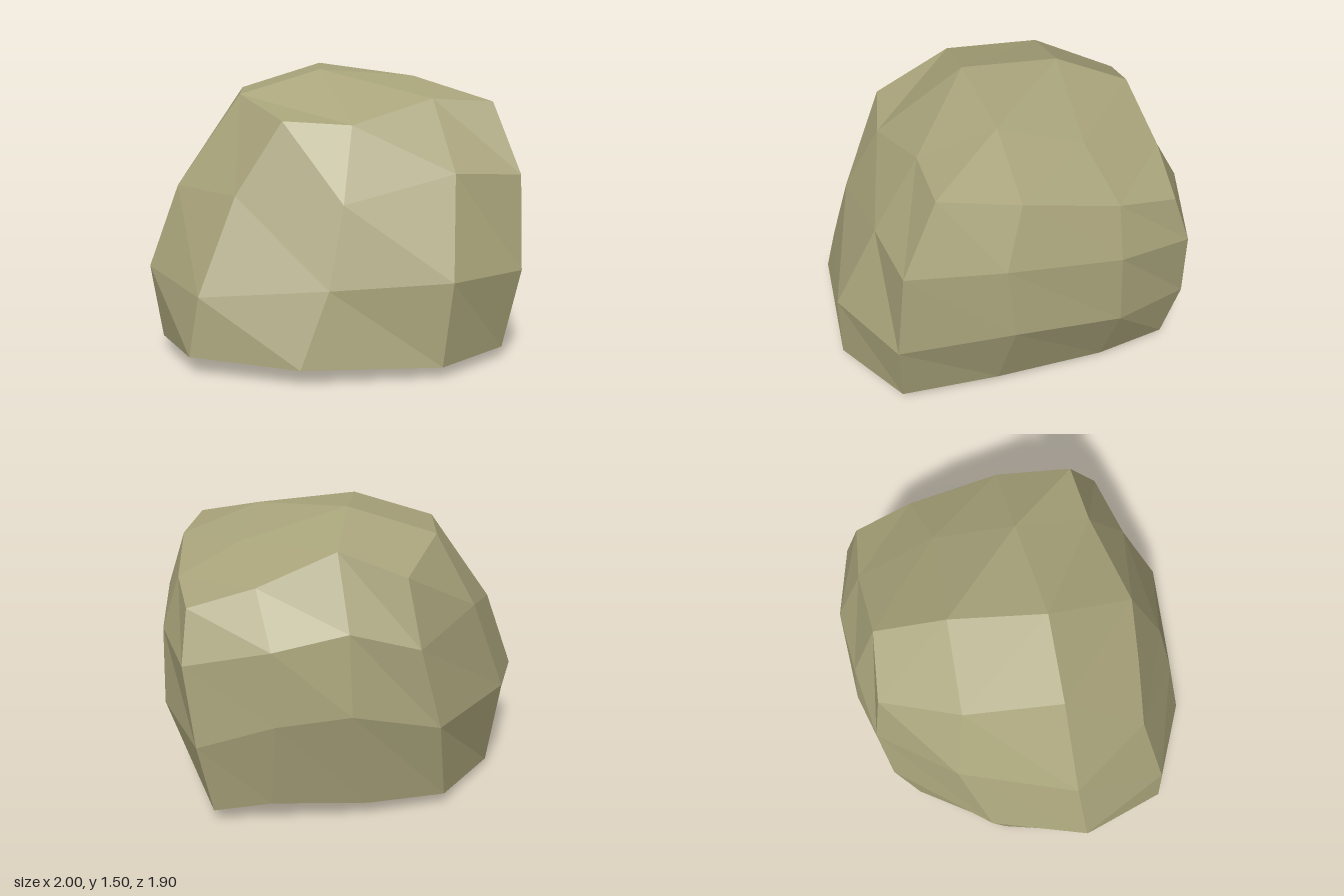
import * as THREE from 'three';

// Cross-sections of the boulder from the ground up. Each loop has 12 points:
// front (left to right), +x side, back, -x side; four points per side.
const sections = [
  [[-.83, .09, .64], [-.32, .08, .92], [.38, .06, .95], [.78, .06, .70], [.84, .10, .19], [.78, .03, -.42],
    [.74, .06, -.80], [.45, .11, -.85], [-.03, .08, -.84], [-.44, .06, -.75], [-.77, .02, -.30], [-.94, .07, .19]],
  [[-.78, .39, .635], [-.17, .45, .87], [.43, .48, .95], [.87, .47, .72], [1, .57, .15], [.98, .50, -.42],
    [.81, .43, -.85], [.43, .56, -.94], [.06, .60, -.95], [-.39, .48, -.85], [-.82, .50, -.38], [-1, .44, .12]],
  [[-.58, .87, .53], [-.08, .85, .78], [.50, .98, .73], [.87, .96, .67], [.97, .97, .19], [.97, .90, -.40],
    [.86, .84, -.81], [.44, .93, -.92], [.07, 1.0, -.90], [-.28, .90, -.87], [-.62, 1.0, -.50], [-.84, .87, .09]],
  [[-.34, 1.24, .53], [0, 1.22, .60], [.45, 1.34, .49], [.78, 1.32, .48], [.87, 1.28, .09], [.88, 1.17, -.40],
    [.83, 1.10, -.72], [.50, 1.20, -.76], [.11, 1.36, -.74], [-.22, 1.24, -.80], [-.43, 1.36, -.41], [-.50, 1.35, .09]],
];

// Inner points of the crown and the underside: front pair, then back pair
const crown = [[-.07, 1.48, .12], [.46, 1.44, .09], [.02, 1.50, -.37], [.56, 1.33, -.33]];
const underside = [[-.36, .01, .45], [.40, .03, .40], [-.30, .02, -.35], [.36, 0, -.35]];

function boulderGeometry() {
  const positions = [];
  const quad = (a, b, c, d) => {
    for (const p of [a, b, d, b, c, d]) positions.push(...p);
  };

  // Sides: join each cross-section to the next
  for (let level = 0; level < 3; level++) {
    const low = sections[level], high = sections[level + 1];
    for (let i = 0; i < 12; i++) {
      const j = (i + 1) % 12;
      quad(low[i], low[j], high[j], high[i]);
    }
  }

  // Crown and underside: 4 x 4 grids inside the end loops
  const cap = (r, inner, up) => {
    const grid = [
      [r[0], r[1], r[2], r[3]],
      [r[11], inner[0], inner[1], r[4]],
      [r[10], inner[2], inner[3], r[5]],
      [r[9], r[8], r[7], r[6]],
    ];
    for (let i = 0; i < 3; i++) {
      for (let j = 0; j < 3; j++) {
        const a = grid[i][j], b = grid[i][j + 1], c = grid[i + 1][j + 1], d = grid[i + 1][j];
        if (up) quad(a, b, c, d);
        else quad(a, d, c, b);
      }
    }
  };
  cap(sections[3], crown, true);
  cap(sections[0], underside, false);

  const geometry = new THREE.BufferGeometry();
  geometry.setAttribute('position', new THREE.Float32BufferAttribute(positions, 3));
  geometry.computeVertexNormals();
  return geometry;
}

export function createModel() {
  const group = new THREE.Group();
  group.name = 'rock';
  const stone = new THREE.MeshStandardMaterial({ color: 0xa8a37a, flatShading: true });
  stone.name = 'olive stone';
  const boulder = new THREE.Mesh(boulderGeometry(), stone);
  boulder.name = 'boulder';
  group.add(boulder);
  return group;
}
